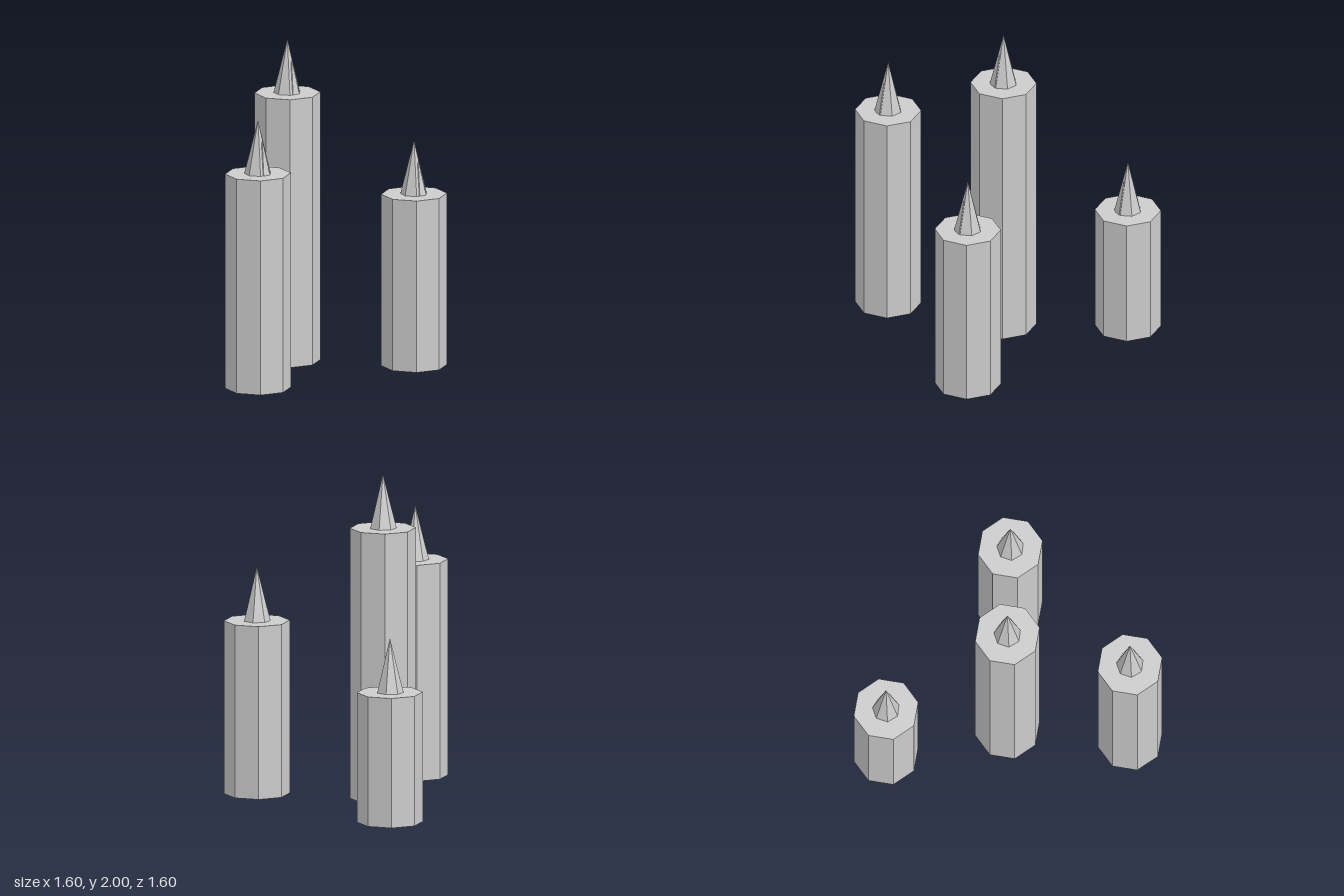
import * as THREE from 'three';

// [x, z, body height] of each candle
const CANDLES = [
  [-0.6, -0.6, 0.8],
  [0.6, -0.467, 1.067],
  [-0.067, -0.067, 1.667],
  [0.267, 0.6, 1.333],
];

export function createModel() {
  const model = new THREE.Group();
  model.name = 'candles';
  const grey = new THREE.MeshStandardMaterial({ color: 0xcccccc, flatShading: true });
  grey.name = 'plain grey';

  const add = (parent, name, geometry, x, y) => {
    const mesh = new THREE.Mesh(geometry, grey);
    mesh.name = name;
    mesh.position.set(x, y, 0);
    parent.add(mesh);
  };

  // Flames are seven-sided cones standing on their base
  const flame = new THREE.ConeGeometry(0.083, 0.333, 7).translate(0, 0.1665, 0);
  const sideFlame = new THREE.ConeGeometry(0.05, 0.207, 7).translate(0, 0.1035, 0);

  for (const [x, z, height] of CANDLES) {
    const candle = new THREE.Group();
    candle.name = 'candle';
    candle.position.set(x, 0, z);
    add(candle, 'candleBody', new THREE.CylinderGeometry(0.2, 0.2, height, 8), 0, height / 2);
    add(candle, 'flame', flame, 0, height);
    // Smaller flame just breaking through the side of the main one
    add(candle, 'sideFlame', sideFlame, 0.034, height);
    model.add(candle);
  }
  return model;
}
